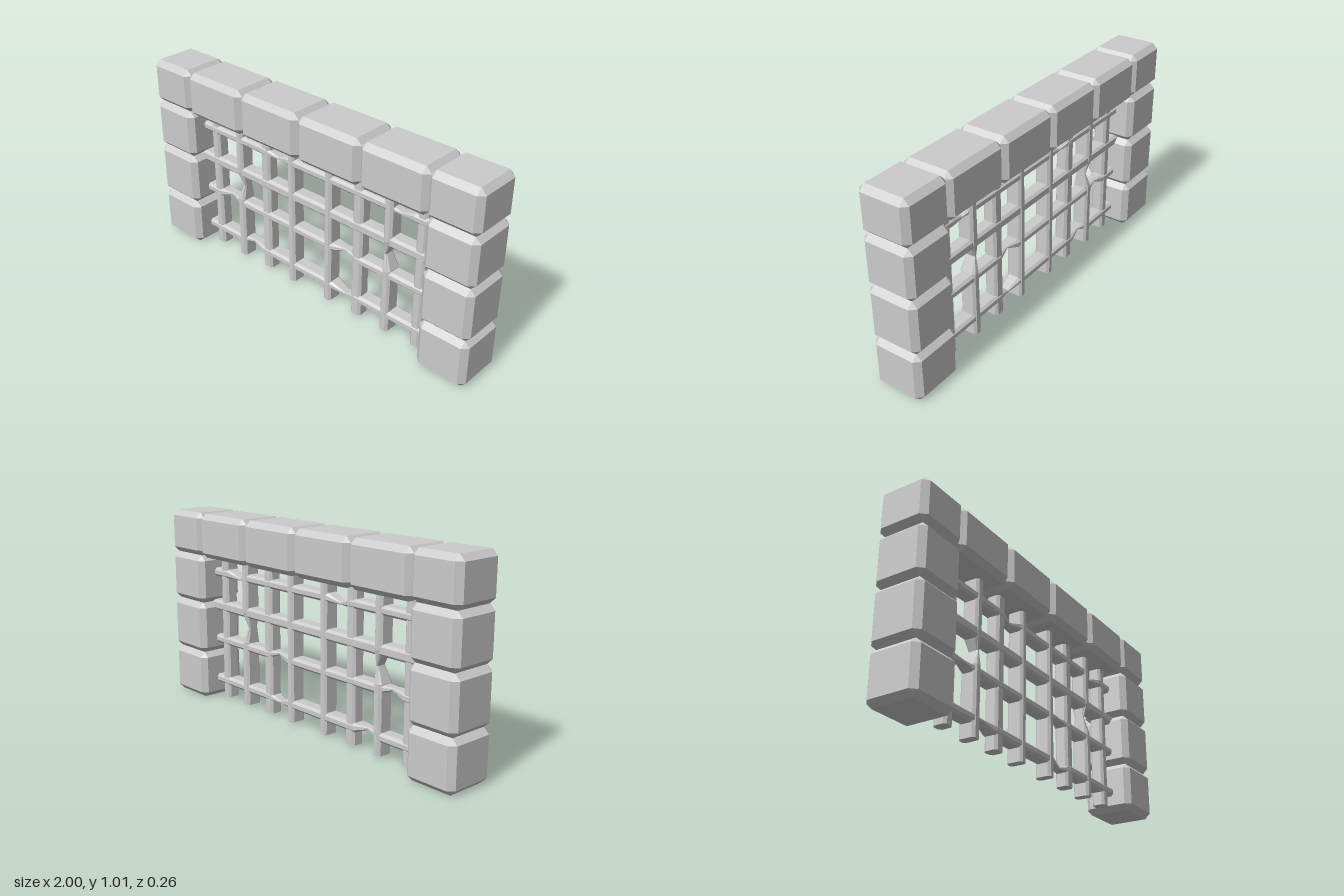
import * as THREE from 'three';
import { ConvexGeometry } from 'three/addons/geometries/ConvexGeometry.js';

const stone = new THREE.MeshStandardMaterial({ color: 0xcccccc, flatShading: true });
const timber = new THREE.MeshStandardMaterial({ color: 0xcccccc, flatShading: true });

// Stone block with every edge cut at 45 degrees
function block(name, x0, x1, y0, y1) {
  const h = [(x1 - x0) / 2, (y1 - y0) / 2, 0.13], c = 0.028, pts = [];
  for (const sx of [-1, 1]) for (const sy of [-1, 1]) for (const sz of [-1, 1])
    for (let k = 0; k < 3; k++) {
      const d = h.map((v, i) => (i === k ? v : v - c));
      pts.push(new THREE.Vector3(sx * d[0], sy * d[1], sz * d[2]));
    }
  const m = new THREE.Mesh(new ConvexGeometry(pts), stone);
  m.position.set((x0 + x1) / 2, (y0 + y1) / 2, 0);
  m.name = name;
  return m;
}

// Upright bar along y from chamfered cross-sections; each notch [t, side, z]
// squeezes the bar towards one side
function bar(name, t0, t1, width, depth, notches) {
  const w = width / 2, d = depth / 2, c = 0.012;
  const section = [[w, d - c], [w - c, d], [c - w, d], [-w, d - c],
    [-w, c - d], [c - w, -d], [w - c, -d], [w, c - d]];
  const rings = [[t0, 1, 0, 0], [t1, 1, 0, 0]];
  for (const [t, side, z] of notches)
    rings.push([t - 0.08, 1, 0, 0], [t, 0.3, side * w * 0.7, z], [t + 0.08, 1, 0, 0]);
  rings.sort((a, b) => a[0] - b[0]);
  const pos = [], idx = [], n = section.length;
  for (const [t, s, ox, oz] of rings)
    for (const [x, z] of section) pos.push(x * s + ox, t, z * (0.4 + 0.6 * s) + oz);
  for (let r = 0; r < rings.length - 1; r++)
    for (let i = 0; i < n; i++) {
      const a = r * n + i, b = r * n + (i + 1) % n;
      idx.push(a, a + n, b, b, a + n, b + n);
    }
  const last = (rings.length - 1) * n;
  for (let i = 1; i < n - 1; i++) idx.push(0, i, i + 1, last, last + i + 1, last + i);
  // Make both sides and caps face outward
  for (let i = 0; i < idx.length; i += 3) {
    const [a, b, e] = [0, 1, 2].map(k => new THREE.Vector3().fromArray(pos, idx[i + k] * 3));
    const nrm = b.clone().sub(a).cross(e.clone().sub(a));
    const mid = a.clone().add(b).add(e).divideScalar(3);
    const ra = rings[Math.floor(idx[i] / n)], rb = rings[Math.floor(idx[i + 1] / n)];
    const axis = new THREE.Vector3((ra[2] + rb[2]) / 2, (ra[0] + rb[0]) / 2, (ra[3] + rb[3]) / 2);
    const out = i >= (rings.length - 1) * n * 6
      ? new THREE.Vector3(0, mid.y - (t0 + t1) / 2, 0) : mid.sub(axis);
    if (nrm.dot(out) < 0) [idx[i + 1], idx[i + 2]] = [idx[i + 2], idx[i + 1]];
  }
  const g = new THREE.BufferGeometry();
  g.setAttribute('position', new THREE.Float32BufferAttribute(pos, 3));
  g.setIndex(idx);
  const flat = g.toNonIndexed();
  flat.computeVertexNormals();
  const m = new THREE.Mesh(flat, timber);
  m.name = name;
  return m;
}

export function createModel() {
  const model = new THREE.Group();
  model.name = 'stoneGateway';

  // Stacked side pillars
  const rows = [0, 0.252, 0.526, 0.782, 1.008];
  for (const side of [-1, 1]) {
    const pillar = new THREE.Group();
    pillar.name = side > 0 ? 'leftPillar' : 'rightPillar';
    for (let i = 0; i < 4; i++) {
      const a = side * 0.733, b = side;
      pillar.add(block('pillarStone', Math.min(a, b), Math.max(a, b), rows[i], rows[i + 1]));
    }
    model.add(pillar);
  }

  // Row of lintel stones
  const lintel = new THREE.Group();
  lintel.name = 'lintel';
  for (let i = 0; i < 4; i++)
    lintel.add(block('lintelStone', -0.74 + i * 0.37, -0.37 + i * 0.37, 0.776, 1.007));
  model.add(lintel);

  // Upright bars of the grate: x, width, depth, notches
  const grate = new THREE.Group();
  grate.name = 'grate';
  const uprights = [
    [-0.66, 0.055, 0.07, []], [-0.48, 0.048, 0.085, [[0.43, 1, 0]]],
    [-0.3, 0.06, 0.07, []], [-0.12, 0.045, 0.085, []],
    [0.12, 0.045, 0.085, []], [0.3, 0.06, 0.07, []],
    [0.48, 0.048, 0.085, [[0.43, -1, 0]]], [0.66, 0.055, 0.07, []],
  ];
  for (const [x, w, d, notches] of uprights) {
    const m = bar('uprightBar', 0.01, 0.8, w, d, notches);
    m.position.x = x;
    grate.add(m);
  }

  // Cross bars: y, height, notches
  const crossBars = [
    [0.1, 0.045, [[0.22, 1, 0], [-0.41, -1, 0]]],
    [0.325, 0.045, [[0.22, -1, 0], [-0.56, -1, 0]]],
    [0.51, 0.055, []],
    [0.69, 0.045, [[-0.22, 1, 0], [0.54, 1, 0]]],
  ];
  for (const [y, h, notches] of crossBars) {
    const m = bar('crossBar', -0.76, 0.76, h, 0.078, notches.map(([t, s, z]) => [t, s, z]));
    // Lay the bar along x; local +x becomes -y
    m.rotation.z = -Math.PI / 2;
    m.position.y = y;
    grate.add(m);
  }
  model.add(grate);
  return model;
}
